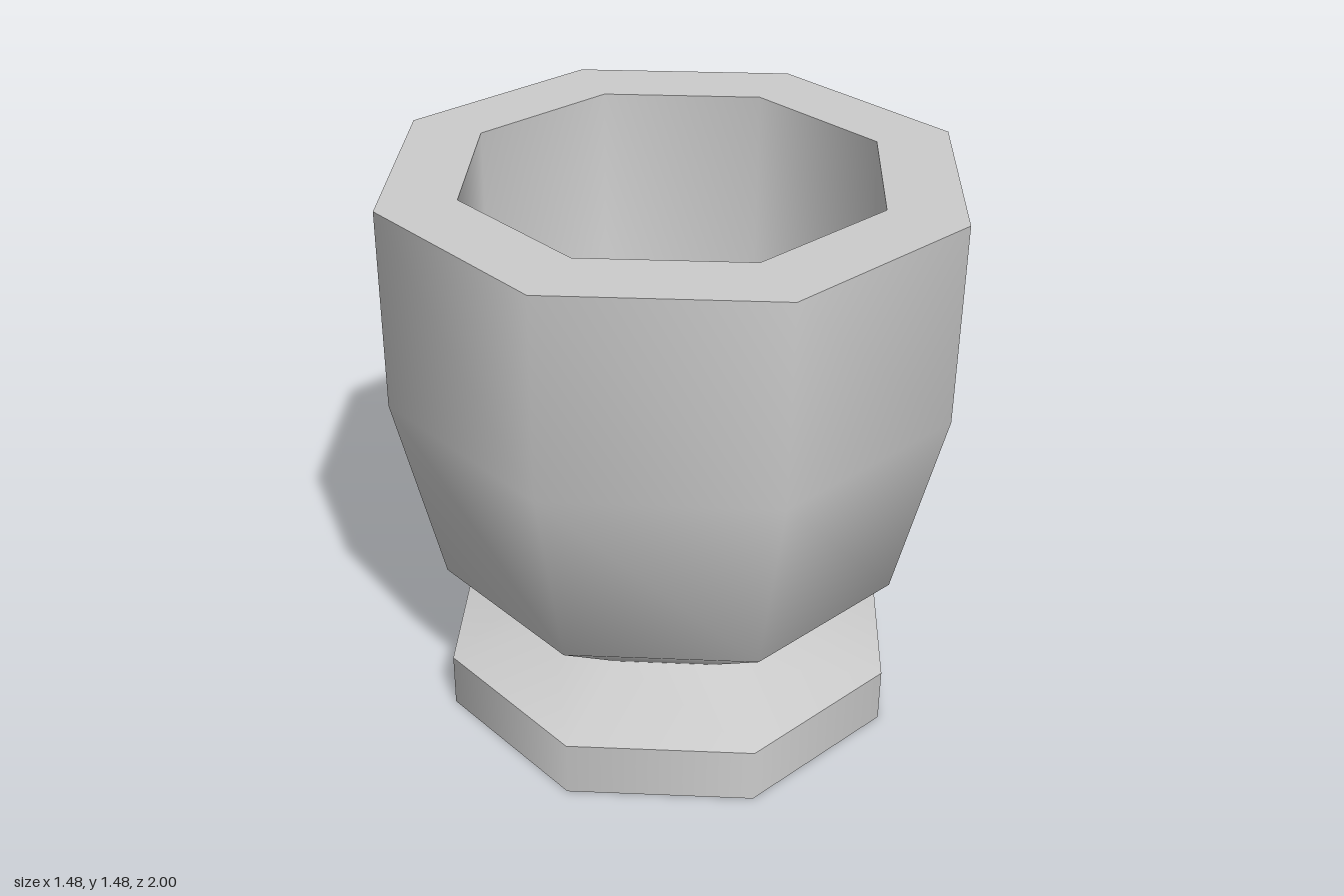
import * as THREE from 'three';

const SIDES = 8;
const CUP_Z = 0.26;

export function createModel() {
  const model = new THREE.Group();
  model.name = 'mug';
  // Thin open shells, so both sides show
  const material = new THREE.MeshStandardMaterial({ color: 0xcccccc, side: THREE.DoubleSide });

  // Octagonal ring of surface; each call is one smooth section with hard ends
  const turned = (name, profile) => {
    const points = profile.map(([r, y]) => new THREE.Vector2(r, y));
    const mesh = new THREE.Mesh(new THREE.LatheGeometry(points, SIDES), material);
    mesh.name = name;
    mesh.position.z = CUP_Z;
    model.add(mesh);
  };

  // Foot: open underneath, with a sloping shoulder up to the bowl
  turned('footWall', [[0.62, 0], [0.62, 0.15]]);
  turned('footShoulder', [[0.62, 0.15], [0.34, 0.22]]);

  // Bowl: outer wall, flat rim, inner wall and floor
  turned('bowlOuter', [[0.34, 0.22], [0.62, 0.44], [0.74, 0.96], [0.74, 1.48]]);
  turned('rim', [[0.74, 1.48], [0.54, 1.48]]);
  turned('bowlInner', [[0.54, 1.48], [0.54, 1.0], [0.46, 0.58], [0.26, 0.4]]);
  turned('bowlFloor', [[0.26, 0.4], [0, 0.4]]);

  // Handle: angular strap from the bowl's back corner to the foot (distance back, height)
  const strap = new THREE.Shape([
    [0.41, 1.39], [0.41, 1.24], [0.67, 1.19], [0.84, 0.74], [0.67, 0.28],
    [0.3, 0.16], [0.3, 0.01], [0.78, 0.16], [1, 0.74], [0.78, 1.32],
  ].map(([back, y]) => new THREE.Vector2(back, y)));
  const handleGeometry = new THREE.ExtrudeGeometry(strap, { depth: 0.3, bevelEnabled: false });
  handleGeometry.translate(0, 0, -0.15).rotateY(Math.PI / 2);
  const handle = new THREE.Mesh(handleGeometry, material);
  handle.name = 'handle';
  model.add(handle);

  return model;
}
